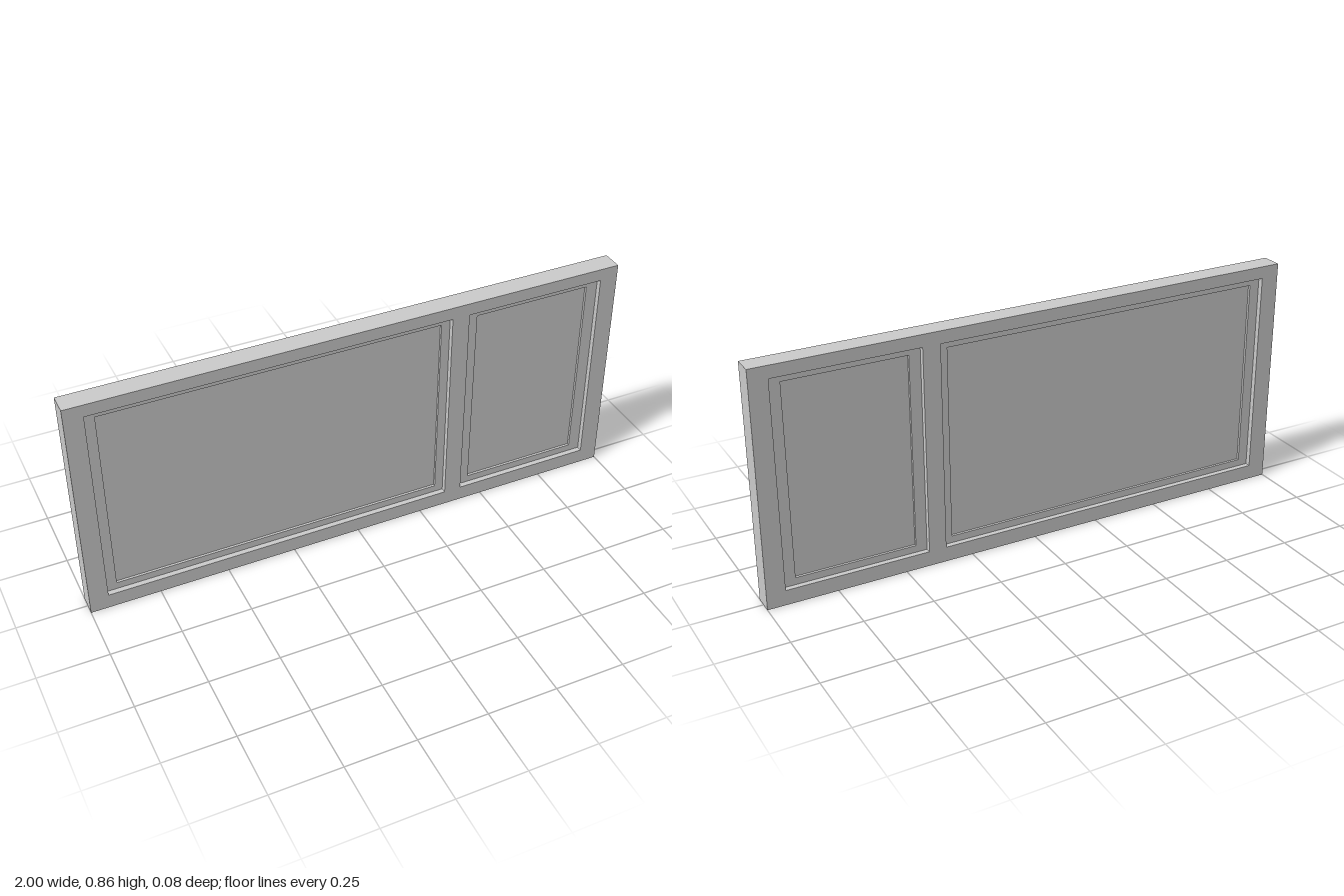
import * as THREE from 'three';

const HEIGHT = 0.855;
const DEPTH = 0.075;
const BEAD_DEPTH = 0.036;
const PANEL_DEPTH = 0.018;

// Openings in the frame, each with the smaller opening of its inner bead
const OPENINGS = [
  { name: 'wide', outer: [-0.933, 0.055, 0.35, 0.81], inner: [-0.895, 0.081, 0.318, 0.784] },
  { name: 'narrow', outer: [0.414, 0.055, 0.933, 0.81], inner: [0.455, 0.081, 0.89, 0.784] },
];

const material = new THREE.MeshStandardMaterial({ color: 0xcccccc });

function trace(path, [x0, y0, x1, y1]) {
  return path.moveTo(x0, y0).lineTo(x1, y0).lineTo(x1, y1).lineTo(x0, y1).closePath();
}

// Rectangular slab with rectangular holes, centred on z = 0
function slab(name, rect, holes, depth) {
  const shape = trace(new THREE.Shape(), rect);
  shape.holes = holes.map((hole) => trace(new THREE.Path(), hole));
  const geometry = new THREE.ExtrudeGeometry(shape, { depth, bevelEnabled: false });
  geometry.translate(0, 0, -depth / 2);
  const mesh = new THREE.Mesh(geometry, material);
  mesh.name = name;
  return mesh;
}

export function createModel() {
  const model = new THREE.Group();
  model.name = 'panelledBoard';

  // Outer frame with the upright between the two panels
  model.add(slab('frame', [-1, 0, 1, HEIGHT], OPENINGS.map((o) => o.outer), DEPTH));

  // Stepped bead and recessed panel, the same on front and back
  for (const { name, outer, inner } of OPENINGS) {
    model.add(slab(name + 'Bead', outer, [inner], BEAD_DEPTH));
    model.add(slab(name + 'Panel', inner, [], PANEL_DEPTH));
  }
  return model;
}
